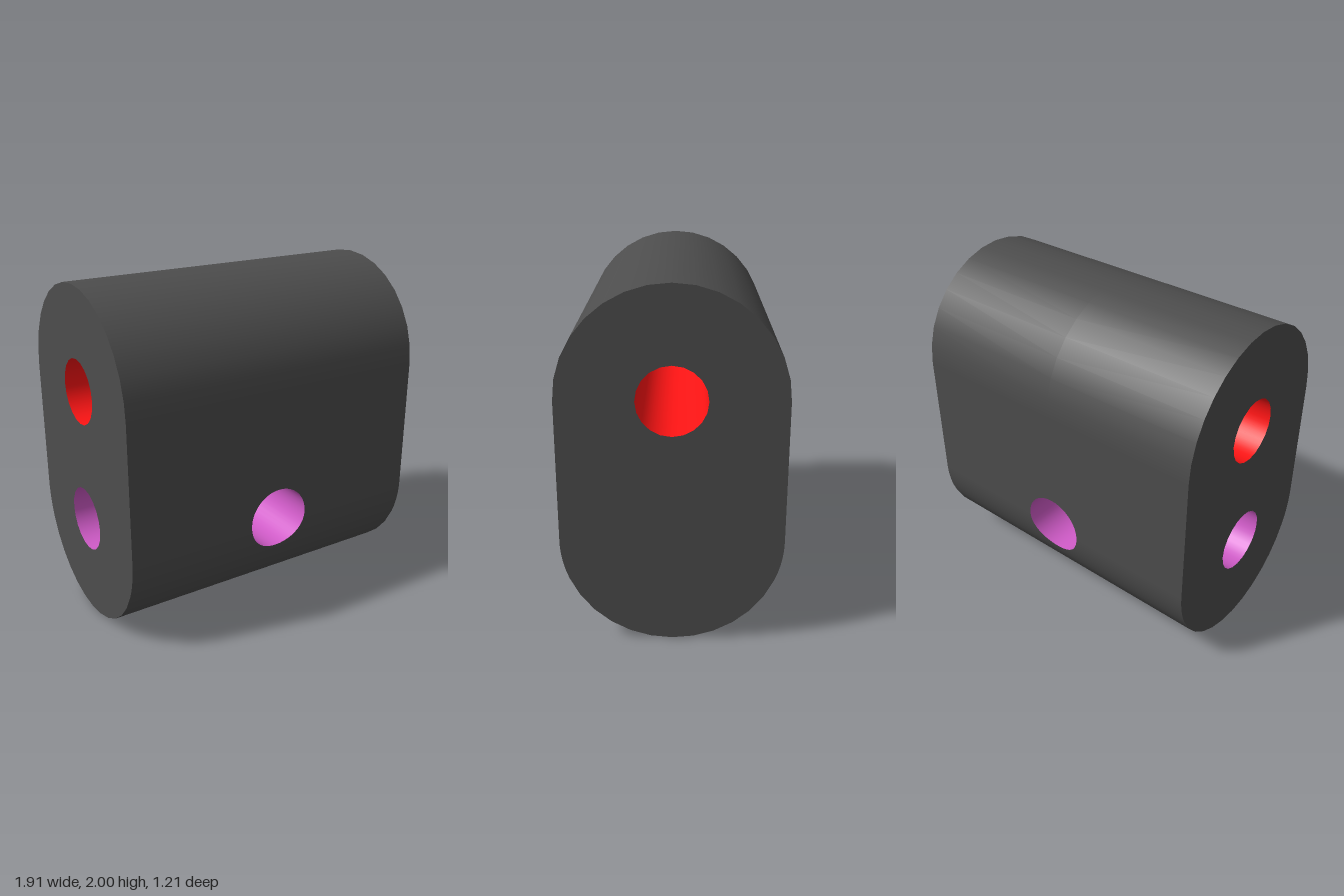
import * as THREE from 'three';

const W = 0.957;          // half length along x
const R = 0.605;          // radius of the rounded top and bottom
const LOW = R, HIGH = 2 - R; // heights of the lower and upper bores
const r = 0.19;           // bore radius
const SIDES = 20;         // sides of each bore

// Half depth of the body at height y
function depthAt(y) {
  const d = y < LOW ? LOW - y : y > HIGH ? y - HIGH : 0;
  return Math.sqrt(Math.max(0, R * R - d * d));
}

// Half width of the cross bore at height y (zero outside it)
const boreAt = (y) => Math.sqrt(Math.max(0, r * r - (y - LOW) ** 2));

// Surface spanned by rows { a, b, n }: two end points and the shared normal
function strip(rows) {
  const pos = [], nor = [], index = [];
  rows.forEach(({ a, b, n }, i) => {
    pos.push(...a.toArray(), ...b.toArray());
    nor.push(...n.toArray(), ...n.toArray());
    if (!i) return;
    const p = rows[i - 1], k = 2 * (i - 1);
    const face = b.clone().add(p.b).sub(a).sub(p.a).cross(a.clone().add(b).sub(p.a).sub(p.b));
    if (face.dot(n.clone().add(p.n)) > 0) index.push(k, k + 1, k + 3, k, k + 3, k + 2);
    else index.push(k, k + 3, k + 1, k, k + 2, k + 3);
  });
  const g = new THREE.BufferGeometry();
  g.setAttribute('position', new THREE.Float32BufferAttribute(pos, 3));
  g.setAttribute('normal', new THREE.Float32BufferAttribute(nor, 3));
  g.setIndex(index);
  return g;
}

// Row heights of the outer wall: both arcs plus the rim of the cross bore
function wallHeights() {
  const ys = [];
  for (let i = 0; i <= 8; i++) {
    const h = R * (1 - Math.cos((i * Math.PI) / 16));
    ys.push(h, 2 - h);
  }
  for (let i = 0; i <= 20; i++) ys.push(LOW + r * Math.sin(((i - 10) * Math.PI) / 20));
  return [...new Set(ys.map((y) => +y.toFixed(5)))].sort((p, q) => p - q);
}

export function createModel() {
  const group = new THREE.Group();
  const V = (x, y, z) => new THREE.Vector3(x, y, z);
  const paint = (color) => new THREE.MeshStandardMaterial({ color, side: THREE.DoubleSide });
  const dark = paint(0x4d4d4d), red = paint(0xff1414), violet = paint(0xd05bc8);
  const add = (name, geometry, material) => {
    const mesh = new THREE.Mesh(geometry, material);
    mesh.name = name;
    group.add(mesh);
  };
  const ys = wallHeights();

  // Outer wall in four quarters, each stopping at the rim of the cross bore
  for (const sx of [1, -1]) for (const sz of [1, -1]) {
    add('outerWall', strip(ys.map((y) => {
      const z = sz * depthAt(y);
      const ny = y < LOW ? y - LOW : y > HIGH ? y - HIGH : 0;
      return { a: V(sx * boreAt(y), y, z), b: V(sx * W, y, z), n: V(0, ny, z).normalize() };
    })), dark);
  }

  // Flat ends: the upper bore opens at both, the lower one only at -x
  for (const sx of [1, -1]) {
    const outline = [
      ...ys.map((y) => new THREE.Vector2(depthAt(y), y)),
      ...ys.slice(1, -1).reverse().map((y) => new THREE.Vector2(-depthAt(y), y)),
    ];
    const shape = new THREE.Shape(outline);
    for (const cy of sx > 0 ? [HIGH] : [HIGH, LOW]) {
      const ring = [];
      for (let i = 0; i < SIDES; i++) {
        const t = (i * 2 * Math.PI) / SIDES;
        ring.push(new THREE.Vector2(r * Math.cos(t), cy + r * Math.sin(t)));
      }
      shape.holes.push(new THREE.Path(ring));
    }
    const end = new THREE.ShapeGeometry(shape);
    end.rotateY((sx * Math.PI) / 2).translate(sx * W, 0, 0);
    add(sx > 0 ? 'leftEnd' : 'rightEnd', end, dark);
  }

  // Rows around a bore; fn gets the cosine and sine of each step
  const around = (fn) => strip(Array.from({ length: SIDES * 2 + 1 }, (_, i) => {
    const t = (i * Math.PI) / SIDES;
    return fn(Math.cos(t), Math.sin(t));
  }));

  // Upper bore, right through along x
  add('upperBore', around((c, s) => ({
    a: V(-W, HIGH + r * s, r * c), b: V(W, HIGH + r * s, r * c), n: V(0, -s, -c),
  })), red);

  // Cross bore along z, cut away on its -x side where the side bore joins
  for (const sz of [1, -1]) {
    add('crossBore', around((c, s) => {
      const x = r * c, y = LOW + r * s;
      return { a: V(x, y, sz * Math.max(0, -x)), b: V(x, y, sz * depthAt(y)), n: V(-c, -s, 0) };
    }), violet);
  }

  // Side bore from the -x end to the cross bore
  add('sideBore', around((c, s) => ({
    a: V(-W, LOW + r * s, r * c), b: V(-Math.abs(r * c), LOW + r * s, r * c), n: V(0, -s, -c),
  })), violet);

  return group;
}
